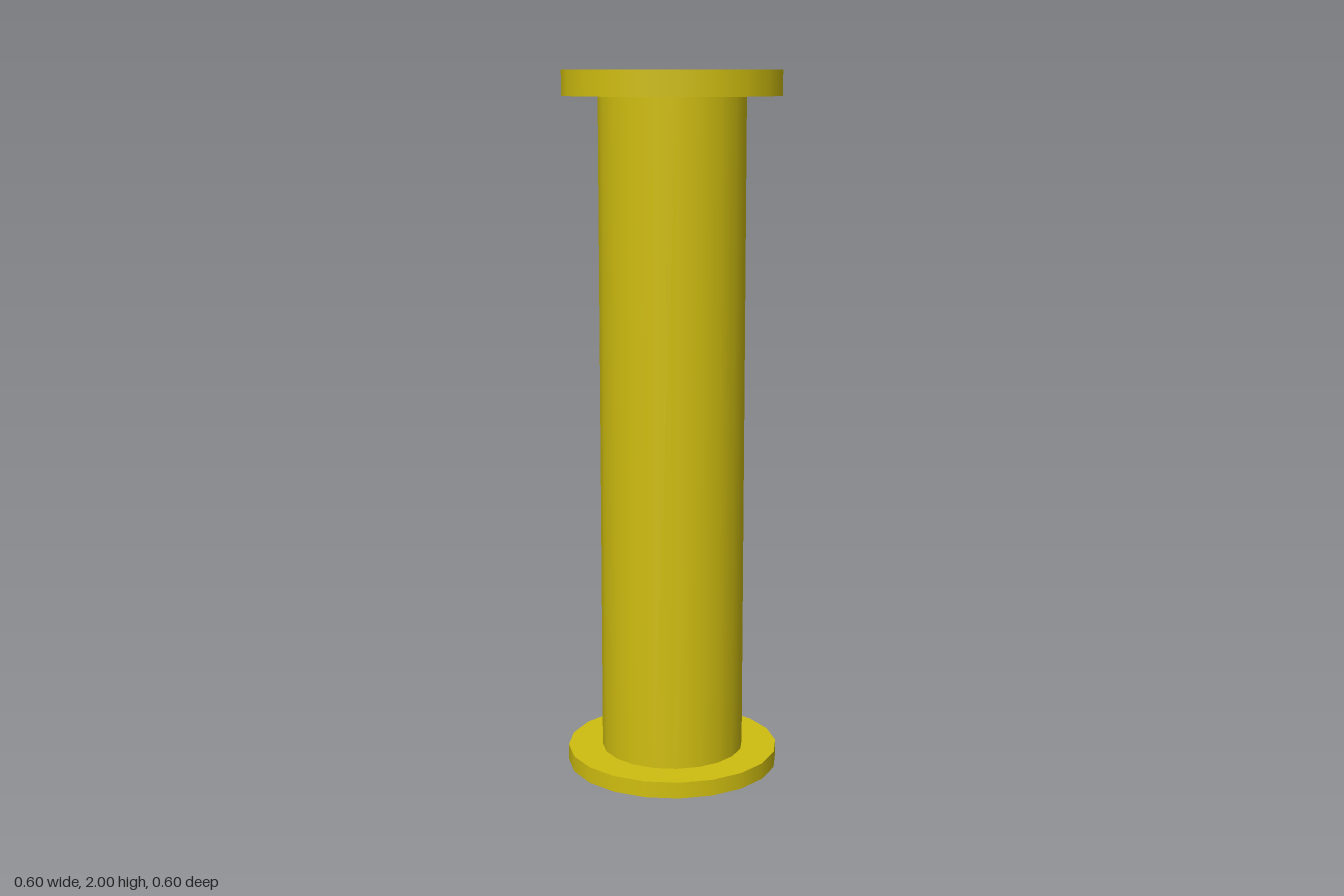
import * as THREE from 'three';

const SIDES = 20;
const OFFSET = Math.PI / SIDES; // puts a flat side on each axis
const TUBE_R = 0.206;
const FLANGE_R = 0.306;

export function createModel() {
  const group = new THREE.Group();
  const material = new THREE.MeshStandardMaterial({ color: 0xd0be10, side: THREE.DoubleSide });

  const add = (name, geometry, y) => {
    const mesh = new THREE.Mesh(geometry, material);
    mesh.name = name;
    mesh.position.y = y;
    group.add(mesh);
  };

  // Open thin-walled cylinder between two heights
  const wall = (name, radius, y0, y1) => add(
    name,
    new THREE.CylinderGeometry(radius, radius, y1 - y0, SIDES, 1, true, OFFSET),
    (y0 + y1) / 2
  );

  // Flat ring joining the tube to a flange rim
  const ring = (name, y) => add(
    name,
    new THREE.RingGeometry(TUBE_R, FLANGE_R, SIDES, 1, OFFSET).rotateX(-Math.PI / 2),
    y
  );

  const low = 0.047, high = 1.93;

  // Hollow tube
  wall('tube', TUBE_R, low, high);

  // Lower flange: rim hangs down from its ring
  ring('lowerFlangeRing', low);
  wall('lowerFlangeRim', FLANGE_R, 0, low);

  // Upper flange: rim stands up from its ring
  ring('upperFlangeRing', high);
  wall('upperFlangeRim', FLANGE_R, high, 2);

  return group;
}
